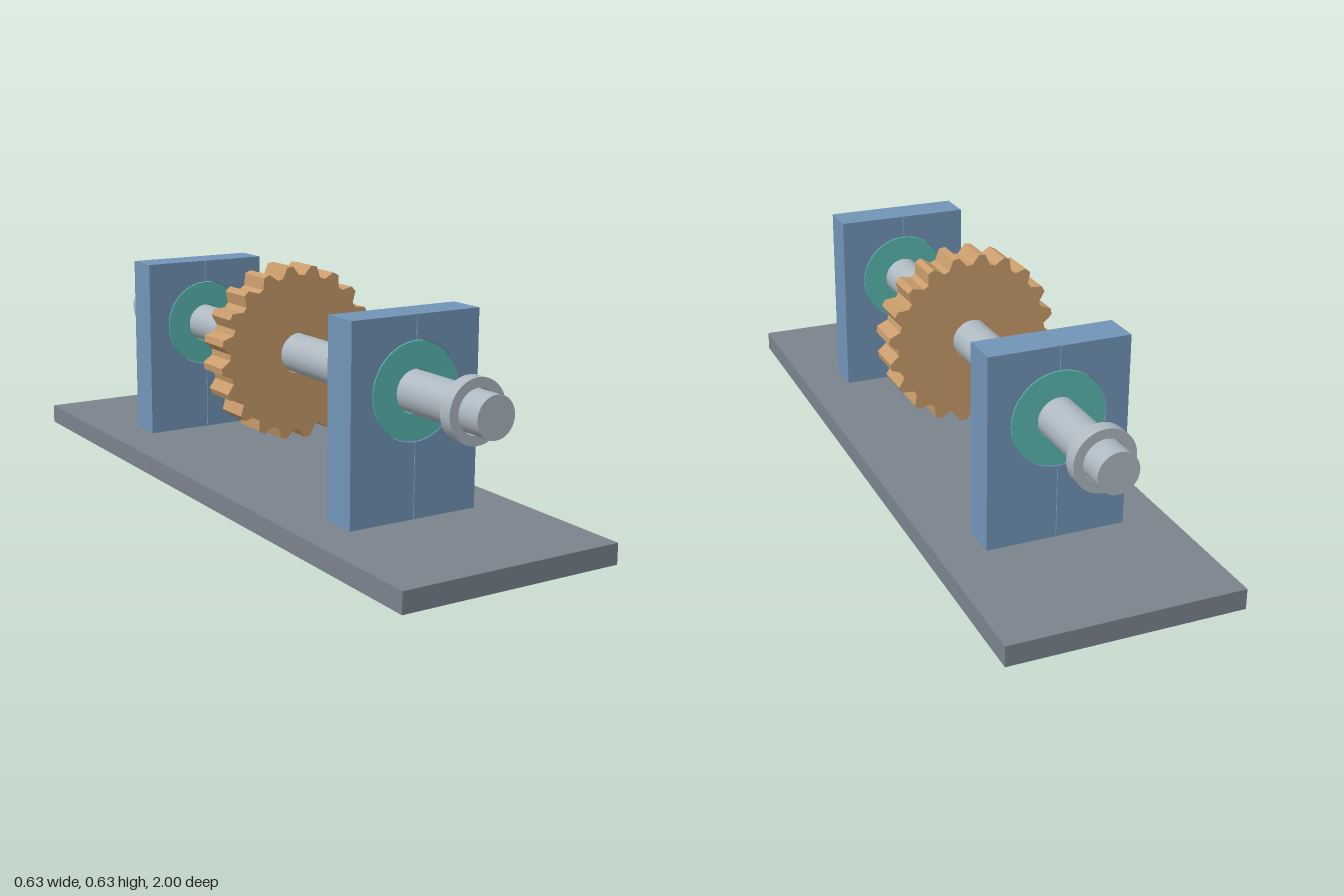
import * as THREE from 'three';
import { toCreasedNormals } from 'three/addons/utils/BufferGeometryUtils.js';

const AXIS_Y = 0.383;
const BORE = 0.057;
const BLOCK_Z = 0.552, BLOCK_DEPTH = 0.104;

const material = (name, color) => {
  const m = new THREE.MeshStandardMaterial({ color });
  m.name = name;
  return m;
};

// Extrudes a shape along z, centred on z = 0
function extrude(shape, depth) {
  const geometry = new THREE.ExtrudeGeometry(shape, { depth, bevelEnabled: false, curveSegments: 48 });
  geometry.translate(0, 0, -depth / 2);
  return toCreasedNormals(geometry, 0.4);
}

function addBore(shape, radius) {
  shape.holes.push(new THREE.Path().absarc(0, 0, radius, 0, Math.PI * 2, true));
  return shape;
}

function ring(outer, inner, depth) {
  return extrude(addBore(new THREE.Shape().absarc(0, 0, outer, 0, Math.PI * 2, false), inner), depth);
}

// Gear outline: straight-flanked teeth with flat tips and flat roots
function gearShape(teeth, rootRadius, tipRadius) {
  const points = [];
  for (let i = 0; i < teeth; i++) {
    for (const [offset, r] of [[-6.85, rootRadius], [-2.15, tipRadius], [2.15, tipRadius], [6.85, rootRadius]]) {
      const a = THREE.MathUtils.degToRad(6.7 + i * 360 / teeth + offset);
      points.push(new THREE.Vector2(r * Math.cos(a), r * Math.sin(a)));
    }
  }
  return addBore(new THREE.Shape(points), BORE);
}

// Right-hand half of a split bearing block, relative to the shaft axis
function halfBlockShape() {
  const gap = 0.001, w = 0.19, bottom = 0.055 - AXIS_Y, top = 0.575 - AXIS_Y, r = 0.1285;
  const a = Math.acos(gap / r);
  const s = new THREE.Shape();
  s.moveTo(gap, bottom);
  s.lineTo(w, bottom);
  s.lineTo(w, top);
  s.lineTo(gap, top);
  s.lineTo(gap, r * Math.sin(a));
  s.absarc(0, 0, r, a, -a, true);
  s.closePath();
  return s;
}

export function createModel() {
  const model = new THREE.Group();
  model.name = 'gearShaftStand';
  const slate = material('slate grey', 0x7a838e);
  const blue = material('steel blue', 0x7294b8);
  const teal = material('teal', 0x59b8b0);
  const bronze = material('bronze', 0xc99c6b);
  const steel = material('light steel', 0xadb8c1);

  const add = (name, geometry, mat, y = AXIS_Y, z = 0) => {
    const mesh = new THREE.Mesh(geometry, mat);
    mesh.name = name;
    mesh.position.set(0, y, z);
    model.add(mesh);
    return mesh;
  };

  // Base plate
  add('basePlate', new THREE.BoxGeometry(0.626, 0.055, 2), slate, 0.0275);

  // Shaft and gear
  add('shaft', new THREE.CylinderGeometry(0.054, 0.054, 1.832, 64).rotateX(Math.PI / 2), steel);
  add('gear', extrude(gearShape(20, 0.217, 0.2435), 0.106), bronze);

  // Split blocks, bearings and collars at both ends
  const half = extrude(halfBlockShape(), BLOCK_DEPTH);
  const bearing = ring(0.1262, BORE, BLOCK_DEPTH);
  const collar = ring(0.082, BORE, 0.037);
  for (const [end, side] of [['front', 1], ['back', -1]]) {
    add(end + 'BlockLeftHalf', half, blue, AXIS_Y, side * BLOCK_Z);
    add(end + 'BlockRightHalf', half, blue, AXIS_Y, side * BLOCK_Z).rotation.y = Math.PI;
    add(end + 'Bearing', bearing, teal, AXIS_Y, side * BLOCK_Z);
    add(end + 'Collar', collar, steel, AXIS_Y, side * 0.831);
  }
  return model;
}
